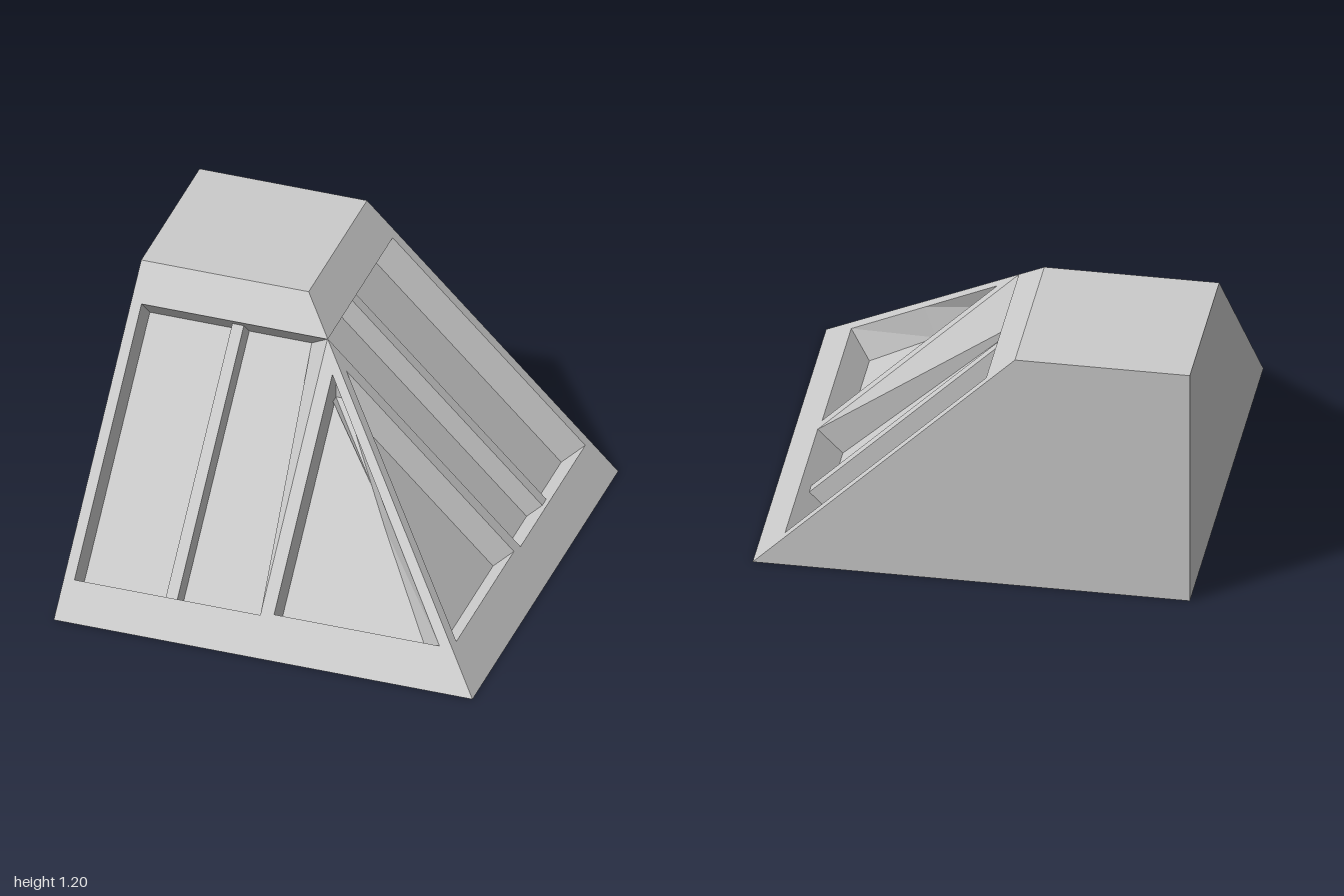
import * as THREE from 'three';

// Point on a plane parallel to the sloped front: y + z = level
const onSlope = (level) => ([x, y]) => new THREE.Vector3(x, y, level - y);

// Flat-shaded geometry from a list of triangle corners
function fromTriangles(points) {
  const geometry = new THREE.BufferGeometry().setFromPoints(points);
  geometry.computeVertexNormals();
  return geometry;
}

// Convex polygon, counter-clockwise seen from outside
function fan(points) {
  const out = [];
  for (let i = 1; i < points.length - 1; i++) out.push(points[0], points[i], points[i + 1]);
  return out;
}

// Walls running from each edge of loop a to the matching edge of loop b
function walls(a, b) {
  return a.flatMap((p, i) => {
    const j = (i + 1) % a.length;
    return fan([p, a[j], b[j], b[i]]);
  });
}

// Same triangles mirrored across the corner ridge (x and z swapped)
function mirrored(points) {
  const out = [];
  for (let i = 0; i < points.length; i += 3) {
    for (const k of [0, 2, 1]) {
      const p = points[i + k];
      out.push(new THREE.Vector3(p.z, p.y, p.x));
    }
  }
  return out;
}

export function createModel() {
  const group = new THREE.Group();
  const material = new THREE.MeshStandardMaterial({ color: 0xcccccc, flatShading: true });
  const add = (name, points) => {
    const mesh = new THREE.Mesh(fromTriangles(points), material);
    mesh.name = name;
    group.add(mesh);
  };

  // Rims of the two recesses, as x and y on the sloped face
  const wideRim = [[-0.95, 0.14], [-0.062, 0.14], [-0.062, 1.06], [-0.95, 1.06]];
  const cornerRim = [[0, 0.15], [0.79, 0.15], [0.395, 0.55], [0, 0.95]];

  // Sunken floors matching the rims
  const wideFloor = [[-0.95, 0.025], [-0.062, 0.025], [-0.177, 0.945], [-0.95, 0.945]].map(onSlope(0.77));
  const cornerFloor = [[0, 0.05], [0.69, 0.05], [0.37, 0.41], [0, 0.85]].map(onSlope(0.8));

  // Sloped face with both openings
  const to2 = ([x, y]) => new THREE.Vector2(x, y);
  const shape = new THREE.Shape([[-1, 0], [1, 0], [-0.2, 1.2], [-1, 1.2]].map(to2));
  shape.holes.push(new THREE.Path(wideRim.map(to2)), new THREE.Path(cornerRim.map(to2)));
  const flat = new THREE.ShapeGeometry(shape).toNonIndexed().attributes.position;
  const face = [];
  for (let i = 0; i < flat.count; i++) face.push(onSlope(1)([flat.getX(i), flat.getY(i)]));

  // Raised bar running down the wide recess
  const bar = (level) => [[-0.53, -0.72], [-0.475, -0.72], [-0.475, 1.12], [-0.53, 1.12]]
    .map(([x, k]) => onSlope(level)([x, (level + k) / 2]));

  const parts = {
    SlopedFace: face,
    WideRecess: [...walls(wideRim.map(onSlope(1)), wideFloor), ...fan(wideFloor)],
    CornerRecess: [...walls(cornerRim.map(onSlope(1)), cornerFloor), ...fan(cornerFloor)],
    // Reversed loops turn the bar walls outwards
    Bar: [...fan(bar(0.92)), ...walls(bar(0.92).reverse(), bar(0.77).reverse())],
  };
  for (const [name, points] of Object.entries(parts)) {
    add('front' + name, points);
    add('side' + name, mirrored(points));
  }

  // Vertical back walls, flat top and base
  const v = (x, y, z) => new THREE.Vector3(x, y, z);
  const back = fan([v(1, 0, -1), v(-1, 0, -1), v(-1, 1.2, -1), v(-0.2, 1.2, -1)]);
  add('backWall', back);
  add('innerSideWall', mirrored(back));
  add('topPlate', fan([v(-1, 1.2, -0.2), v(-0.2, 1.2, -0.2), v(-0.2, 1.2, -1), v(-1, 1.2, -1)]));
  add('basePlate', fan([v(-1, 0, -1), v(1, 0, -1), v(1, 0, 1), v(-1, 0, 1)]));
  return group;
}
